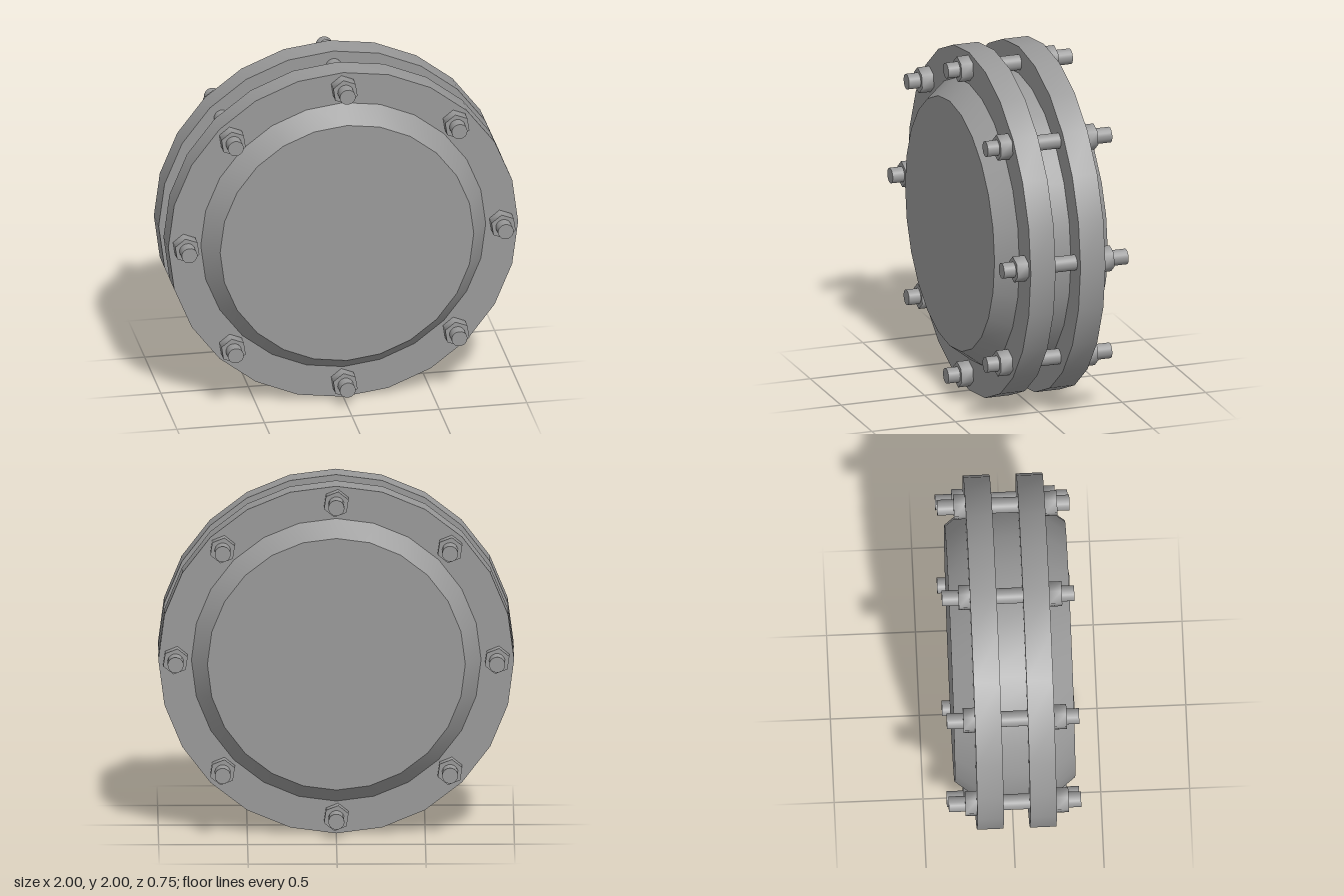
import * as THREE from 'three';
import { toCreasedNormals } from 'three/addons/utils/BufferGeometryUtils.js';

const material = new THREE.MeshStandardMaterial({ color: 0x999999 });

// Closed solid of revolution along z; profile is a list of [radius, z], back to front.
function turned(name, profile, sides, crease = 0.5) {
  const points = profile.map(([r, z]) => new THREE.Vector2(r, z));
  const geometry = new THREE.LatheGeometry(points, sides).rotateX(Math.PI / 2);
  const mesh = new THREE.Mesh(toCreasedNormals(geometry, crease), material);
  mesh.name = name;
  return mesh;
}

// Plain disc, rod or nut between two z positions, smooth around its side.
const rod = (name, radius, z0, z1, sides) =>
  turned(name, [[0, z0], [radius, z0], [radius, z1], [0, z1]], sides, 1.2);

export function createModel() {
  const model = new THREE.Group();
  model.name = 'boltedFlangeDrum';

  // Drum with chamfered ends
  model.add(turned('drum', [
    [0, -0.33], [0.725, -0.33], [0.843, -0.178],
    [0.843, 0.195], [0.725, 0.348], [0, 0.348],
  ], 24));

  // Two flange rings
  model.add(rod('frontFlange', 1, 0.083, 0.232, 24));
  model.add(rod('backFlange', 1, -0.215, -0.066, 24));

  // Eight through bolts, each with a nut at both ends
  for (let i = 0; i < 8; i++) {
    const angle = (i * Math.PI) / 4;
    const bolt = new THREE.Group();
    bolt.name = 'bolt';
    bolt.add(rod('stud', 0.045, -0.373, 0.372, 16));
    bolt.add(rod('frontNut', 0.074, 0.23, 0.302, 6));
    bolt.add(rod('backNut', 0.074, -0.28, -0.213, 6));
    bolt.position.set(0.904 * Math.cos(angle), 0.904 * Math.sin(angle) + 0.005, 0);
    bolt.rotation.z = 0.15;
    model.add(bolt);
  }

  for (const part of model.children) part.position.y += 1;
  return model;
}
